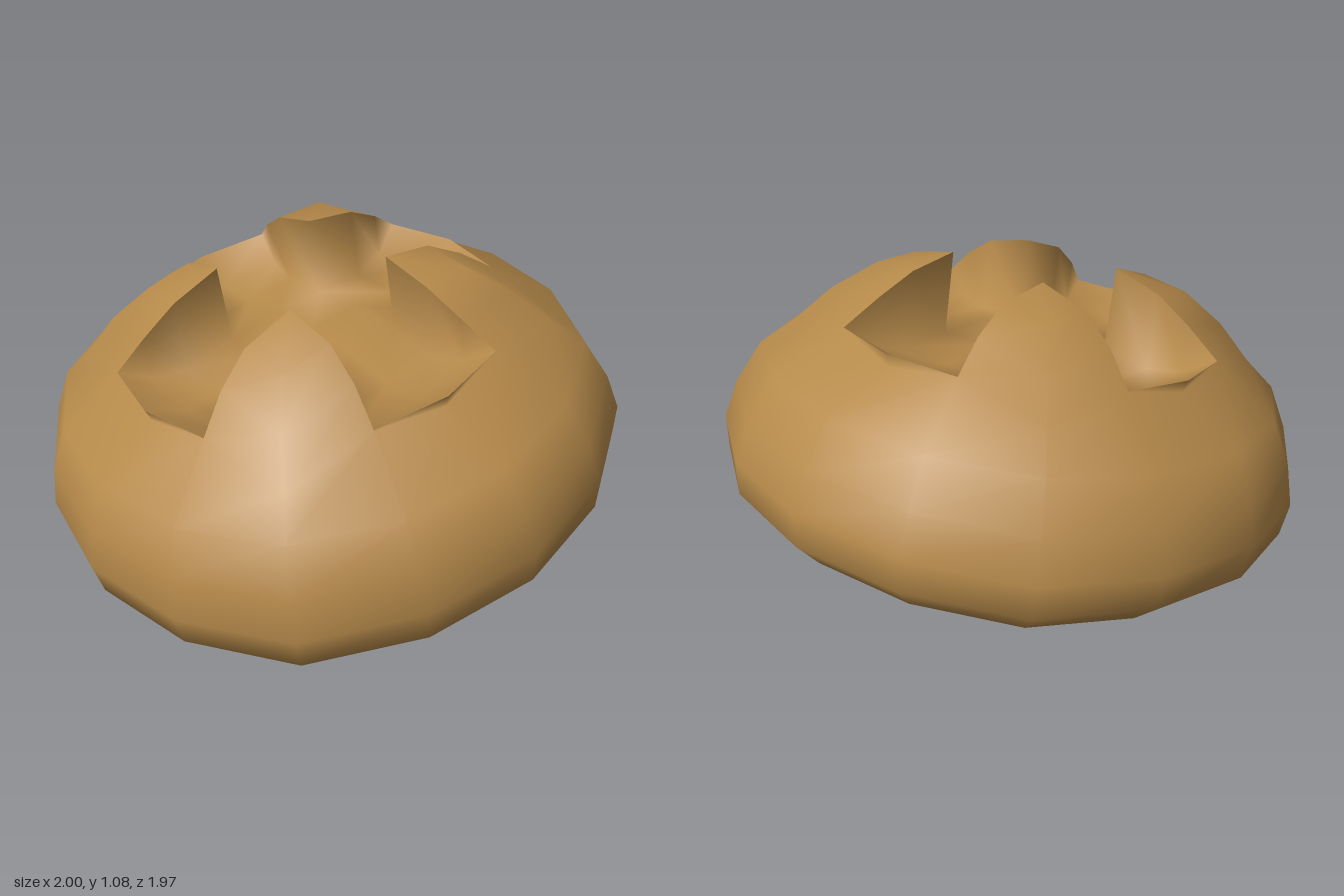
import * as THREE from 'three';
import { mergeGeometries, mergeVertices } from 'three/addons/utils/BufferGeometryUtils.js';

// Surface through rows of [x, y, z] points; faces look along (next row) x (next column).
function skin(rows) {
  const n = rows[0].length;
  const index = [];
  for (let r = 0; r < rows.length - 1; r++) {
    for (let c = 0; c < n - 1; c++) {
      const a = r * n + c, b = a + 1, d = a + n, e = d + 1;
      index.push(a, d, b, b, d, e);
    }
  }
  const g = new THREE.BufferGeometry();
  g.setAttribute('position', new THREE.Float32BufferAttribute(rows.flat(2), 3));
  g.setIndex(index);
  return g;
}

// Joins skins into one smooth surface
function weld(skins) {
  const g = mergeVertices(mergeGeometries(skins));
  g.computeVertexNormals();
  return g;
}

// Quarter turns about y, from +x towards +z
function turn([x, y, z], k) {
  return k === 0 ? [x, y, z] : turn([-z, y, x], k - 1);
}
const fourTimes = (rows) => [0, 1, 2, 3].map((k) => skin(rows.map((row) => row.map((p) => turn(p, k)))));

export function createModel() {
  const model = new THREE.Group();
  model.name = 'crossCutBun';
  const bun = new THREE.Group();
  bun.name = 'bun';
  model.add(bun);
  const material = new THREE.MeshStandardMaterial({ color: 0xb5894a, side: THREE.DoubleSide });
  const add = (name, geometry) => {
    const mesh = new THREE.Mesh(geometry, material);
    mesh.name = name;
    bun.add(mesh);
  };

  // Stations along one arm of the cut, from its tip to the centre:
  // distance, half width, rim height, floor height; middle of the arm; middle of the raised quarter
  const stations = [
    { l: 0.62, w: 0.257, rim: 0.835, floor: 0.835, arm: [0.67, 0.835], quarter: [0.57, 0.765] },
    { l: 0.51, w: 0.222, rim: 0.93, floor: 0.765, arm: [0.53, 0.755], quarter: [0.485, 0.89] },
    { l: 0.385, w: 0.2, rim: 1.01, floor: 0.745, arm: [0.385, 0.745], quarter: [0.38, 0.995] },
    { l: 0.2, w: 0.2, rim: 1.055, floor: 0.765, arm: [0.2, 0.785], quarter: [0.2, 1.055] },
  ];
  const tip = stations[0];
  const lipCorner = [tip.l, tip.rim, tip.w];
  const lipUnder = [0.655, 0.79, 0];

  // Raised quarters between the arms
  const quarterRows = stations.map(({ l, w, rim, quarter: [d, y] }) => [[l, rim, w], [d, y, d], [w, rim, l]]);

  // Loaf: rings slightly squared in plan, ending at the foot of the quarters and lips
  const rings = [
    [0, 0.058], [0.385, 0.075], [0.7, 0.115], [0.89, 0.18], [0.985, 0.27],
    [1, 0.385], [0.965, 0.52], [0.89, 0.67],
  ].map(([r, y]) => Array.from({ length: 17 }, (_, i) => {
    const t = (i % 16) * Math.PI / 8;
    const s = r * (1 + 0.032 * Math.sin(2 * t) ** 4);
    return [s * Math.cos(t), y, s * Math.sin(t)];
  }));
  const topRing = [0, 1, 2, 3].flatMap((k) => [lipUnder, ...quarterRows[0]].map((p) => turn(p, k)));
  rings.push([...topRing, lipUnder]);

  // Overhanging lip at the tip of each arm
  const [lx, ly, lz] = lipCorner;
  const lipEnd = [lx, ly, -lz];
  const lipRows = [[lipCorner, [tip.arm[0], tip.arm[1], 0], lipEnd], [lipCorner, lipUnder, lipEnd]];
  add('crust', weld([skin(rings), ...fourTimes(quarterRows), ...fourTimes(lipRows)]));

  // Cross-shaped cut: wall, dipped floor and wall of each arm, joined by a centre patch
  const armRows = stations.map(({ l, w, rim, floor, arm: [m, y] }) => [
    [l, rim, w], [l, floor, w], [m, y, 0], [l, floor, -w], [l, rim, -w],
  ]).reverse();
  const centreRows = [-1, 0, 1].map((i) => [1, 0, -1].map((j) => [
    0.2 * i, [0.79, 0.785, 0.765][Math.abs(i) + Math.abs(j)], 0.2 * j,
  ]));
  add('cut', weld([...fourTimes(armRows), skin(centreRows)]));

  // The whole bun leans towards the front
  bun.rotation.x = THREE.MathUtils.degToRad(10);
  bun.position.set(0, 0.011, -0.064);
  return model;
}
